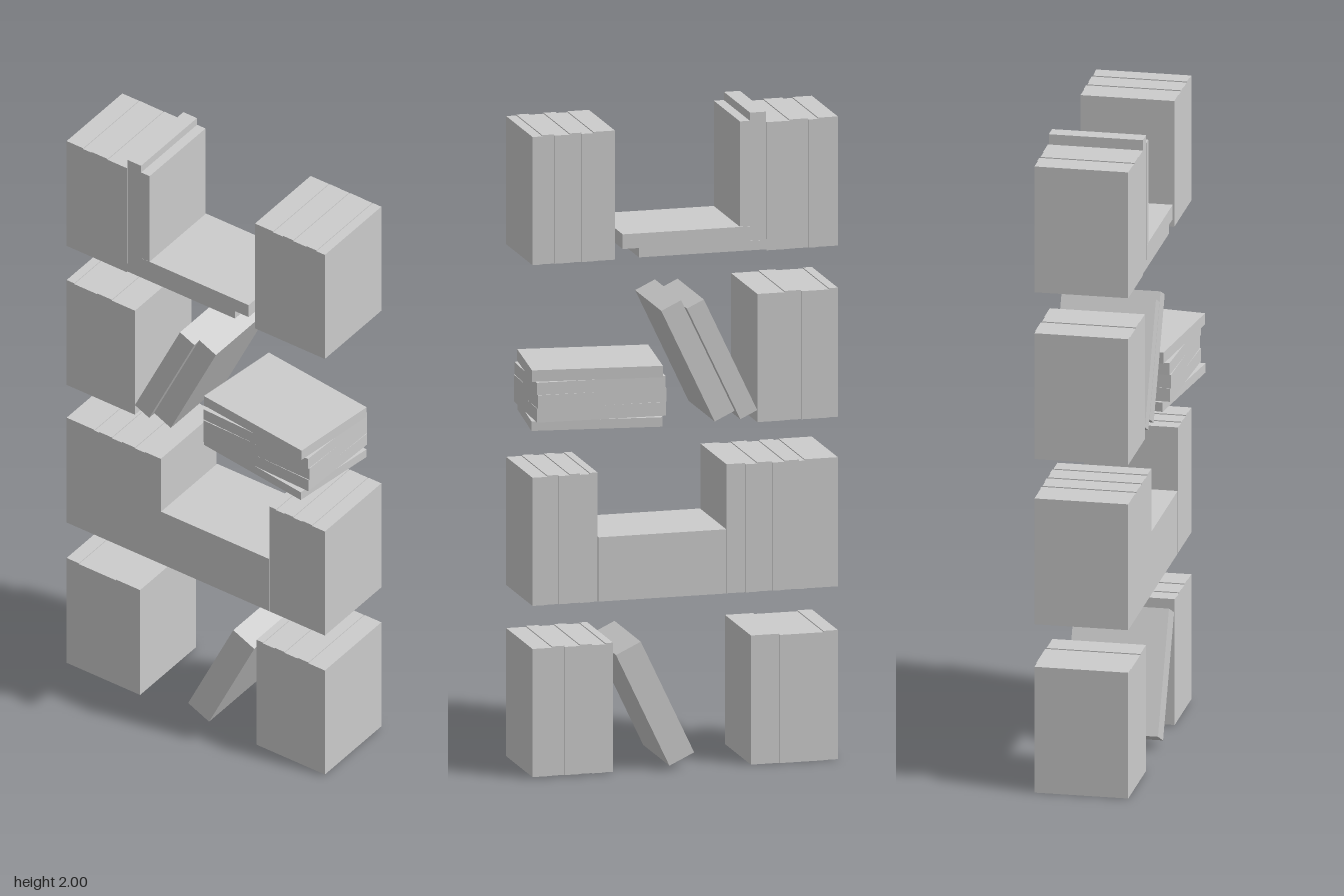
import * as THREE from 'three';

const material = new THREE.MeshStandardMaterial({ color: 0xcccccc, flatShading: true });
const LENGTH = 0.396, FRONT = 0.115, BACK = -0.171;

// One closed book as a plain block, centred at x, y, z
function book(name, w, h, d, x, y, z) {
  const mesh = new THREE.Mesh(new THREE.BoxGeometry(w, h, d), material);
  mesh.name = name;
  mesh.position.set(x, y, z);
  return mesh;
}

// Upright books between successive x edges, slightly uneven at the back and top
function uprightRow(name, bottom, edges) {
  const row = new THREE.Group();
  row.name = name;
  for (let i = 0; i < edges.length - 1; i++) {
    const x0 = edges[i], x1 = edges[i + 1];
    const back = BACK - (i % 2) * 0.004;
    const h = LENGTH - (i % 2) * 0.003;
    row.add(book('uprightBook', x1 - x0, h, FRONT - back, (x0 + x1) / 2, bottom + h / 2, (FRONT + back) / 2));
  }
  return row;
}

// Flat books between successive y edges; turns holds each book's swivel
function flatStack(name, x, z, edges, turns = [], depth = 0.288) {
  const stack = new THREE.Group();
  stack.name = name;
  for (let i = 0; i < edges.length - 1; i++) {
    const b = book('flatBook', LENGTH, edges[i + 1] - edges[i], depth, x, (edges[i] + edges[i + 1]) / 2, z);
    b.rotation.y = turns[i] ?? 0;
    stack.add(b);
  }
  return stack;
}

// A book tipped to the side
function leaningBook(thickness, x, y) {
  const b = book('leaningBook', thickness, 0.387, 0.288, x, y, -0.029);
  b.rotation.z = -0.443;
  return b;
}

export function createModel() {
  const model = new THREE.Group();
  model.name = 'shelvedBooks';

  // Lowest tier
  model.add(
    uprightRow('tier1RightRow', 0.005, [-0.476, -0.431, -0.294, -0.206]),
    leaningBook(0.085, 0.092, 0.206),
    uprightRow('tier1LeftRow', 0.005, [0.222, 0.246, 0.288, 0.325, 0.373, 0.412, 0.473]),
  );
  model.children[0].position.y = -0.005;

  // Second tier
  model.add(
    uprightRow('tier2RightRow', 0.53, [-0.476, -0.373, -0.355, -0.31, -0.272, -0.225, -0.188, -0.13]),
    flatStack('tier2Stack', 0.069, -0.029, [0.53, 0.574, 0.643, 0.706, 0.727]),
    uprightRow('tier2LeftRow', 0.53, [0.27, 0.294, 0.325, 0.357, 0.391, 0.426, 0.473]),
  );

  // Third tier, with a loosely swivelled stack
  model.add(
    uprightRow('tier3RightRow', 1.05, [-0.476, -0.448, -0.362, -0.31, -0.225]),
    leaningBook(0.058, -0.116, 1.249),
    leaningBook(0.068, -0.041, 1.249),
    flatStack('tier3Stack', 0.245, 0, [1.053, 1.082, 1.124, 1.166, 1.204, 1.239],
      [-0.13, -0.035, -0.02, -0.04, -0.12]),
  );

  // Top tier, with two books resting on a pair of flat ones
  model.add(
    uprightRow('tier4RightRow', 1.575, [-0.476, -0.415, -0.384, -0.325, -0.254]),
    flatStack('tier4LowerFlat', -0.056, -0.03, [1.578, 1.607]),
    flatStack('tier4UpperFlat', -0.005, -0.03, [1.607, 1.652], [], 0.29),
    book('raisedBook', 0.05, 0.393, 0.287, -0.228, 1.8035, -0.029),
    book('restingBook', 0.031, 0.323, 0.287, -0.187, 1.8135, -0.029),
    uprightRow('tier4LeftRow', 1.575, [0.216, 0.283, 0.32, 0.357, 0.405, 0.442, 0.473]),
  );
  return model;
}
